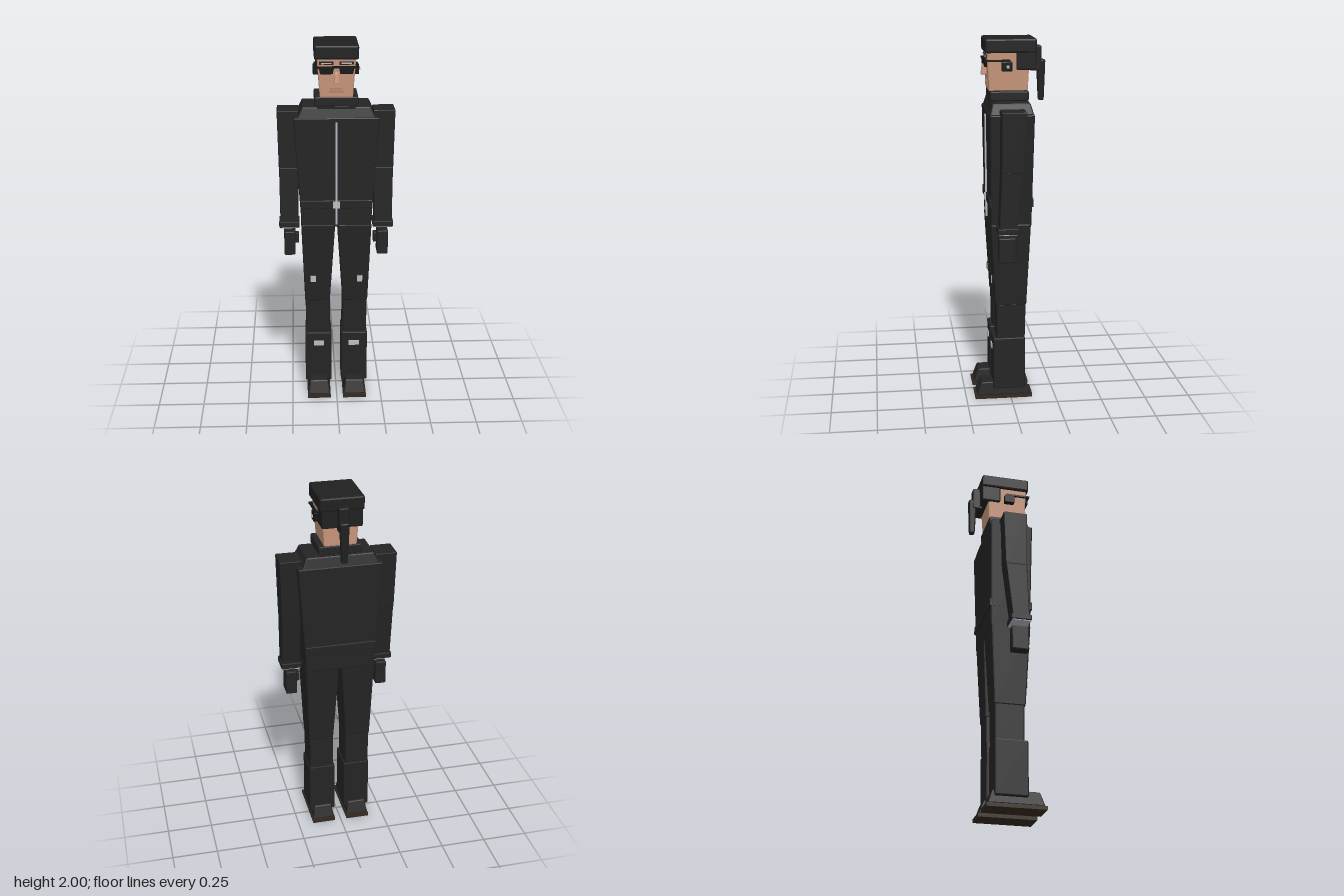
import * as THREE from 'three';
import { RoundedBoxGeometry } from 'three/addons/geometries/RoundedBoxGeometry.js';

const mat = (name, color) => {
  const m = new THREE.MeshStandardMaterial({ color });
  m.name = name;
  return m;
};

// Chamfered block between a bottom and a top rectangle, each [x0, x1, z0, z1].
function blockGeometry(y0, y1, bottom, top = bottom, bevel = 0.007) {
  const w = bottom[1] - bottom[0], h = y1 - y0, d = bottom[3] - bottom[2];
  const r = Math.min(bevel, w * 0.25, h * 0.25, d * 0.25);
  const g = bevel > 0 ? new RoundedBoxGeometry(w, h, d, 1, r) : new THREE.BoxGeometry(w, h, d).toNonIndexed();
  const p = g.attributes.position, lerp = THREE.MathUtils.lerp;
  for (let i = 0; i < p.count; i++) {
    const u = p.getX(i) / w + 0.5, t = p.getY(i) / h + 0.5, v = p.getZ(i) / d + 0.5;
    p.setXYZ(i,
      lerp(lerp(bottom[0], bottom[1], u), lerp(top[0], top[1], u), t),
      lerp(y0, y1, t),
      lerp(lerp(bottom[2], bottom[3], v), lerp(top[2], top[3], v), t));
  }
  g.computeVertexNormals();
  return g;
}

export function createModel() {
  const root = new THREE.Group();
  root.name = 'figure';

  const cloth = mat('black cloth', 0x242424);
  const hair = mat('black hair', 0x202021);
  const lens = mat('dark lens', 0x141415);
  const skin = mat('skin', 0xc8967c);
  const lip = mat('lips', 0xb48069);
  const metal = mat('light metal', 0xbcbcbc);
  const zip = mat('zip silver', 0xb4b4c4);
  const sole = mat('brown sole', 0x35291f);

  const part = (name, m, ...spec) => {
    const mesh = new THREE.Mesh(blockGeometry(...spec), m);
    mesh.name = name;
    root.add(mesh);
  };
  const flip = (r) => [-r[1], -r[0], r[2], r[3]];
  // The same block on the model's left (+x) and right (-x).
  const pair = (name, m, y0, y1, b, t = b, bevel) => {
    part('left ' + name, m, y0, y1, b, t, bevel);
    part('right ' + name, m, y0, y1, flip(b), flip(t), bevel);
  };

  // Head and hair
  part('head', skin, 1.72, 1.94, [-0.087, 0.087, -0.098, 0.11], [-0.103, 0.103, -0.108, 0.122]);
  part('hairCap', hair, 1.925, 2, [-0.117, 0.117, -0.143, 0.132], undefined, 0.01);
  part('backHair', hair, 1.835, 1.94, [-0.108, 0.108, -0.14, -0.035]);
  part('ponytailKnot', hair, 1.82, 1.955, [-0.027, 0.027, -0.18, -0.12]);
  part('ponytail', hair, 1.66, 1.88, [-0.017, 0.017, -0.195, -0.165], [-0.025, 0.025, -0.202, -0.155]);

  // Face
  part('nose', skin, 1.803, 1.86, [-0.014, 0.014, 0.11, 0.147], [-0.01, 0.01, 0.11, 0.138], 0.004);
  part('upperLip', lip, 1.768, 1.775, [-0.03, 0.03, 0.112, 0.12], undefined, 0);
  part('lowerLip', lip, 1.748, 1.761, [-0.04, 0.04, 0.11, 0.118], undefined, 0);
  pair('brow', hair, 1.898, 1.915, [0.015, 0.09, 0.118, 0.124], undefined, 0);
  pair('eye', metal, 1.902, 1.909, [0.026, 0.08, 0.12, 0.126], undefined, 0);

  // Glasses
  pair('lens', lens, 1.85, 1.888, [0.02, 0.085, 0.12, 0.132], [0.012, 0.094, 0.12, 0.132], 0.003);
  part('glassesBar', lens, 1.88, 1.89, [-0.118, 0.118, 0.12, 0.135], undefined, 0);
  pair('glassesTemple', lens, 1.88, 1.89, [0.104, 0.116, 0, 0.135], undefined, 0);

  // Ear pieces, with one stud on the left
  pair('earPiece', lens, 1.83, 1.88, [0.09, 0.122, -0.012, 0.045], undefined, 0.004);
  part('earStud', metal, 1.848, 1.862, [0.12, 0.13, 0.005, 0.02], undefined, 0);

  // Jacket
  part('collar', cloth, 1.672, 1.725, [-0.116, 0.116, -0.1, 0.106]);
  part('collarBase', cloth, 1.64, 1.68, [-0.105, 0.105, -0.098, 0.103]);
  part('shoulderYoke', cloth, 1.605, 1.67, [-0.21, 0.21, -0.118, 0.118], [-0.18, 0.18, -0.1, 0.1]);
  part('torso', cloth, 1, 1.615, [-0.188, 0.188, -0.107, 0.112], [-0.23, 0.23, -0.118, 0.12]);
  part('belt', cloth, 1.11, 1.157, [-0.196, 0.196, -0.117, 0.122], undefined, 0.004);
  part('zip', zip, 1.02, 1.59, [-0.005, 0.005, 0.105, 0.124], [-0.005, 0.005, 0.11, 0.127], 0);
  part('beltBuckle', metal, 1.115, 1.15, [-0.018, 0.018, 0.118, 0.13], undefined, 0);

  // Arms and hands
  pair('upperArm', cloth, 1.32, 1.642, [0.203, 0.309, -0.052, 0.066], [0.2, 0.316, -0.066, 0.066], 0.004);
  pair('forearm', cloth, 1.01, 1.325, [0.208, 0.305, -0.012, 0.078], [0.204, 0.308, -0.05, 0.066], 0.004);
  pair('cuff', cloth, 0.99, 1.022, [0.2, 0.312, -0.022, 0.088], undefined, 0.004);
  pair('cuffTrim', zip, 0.986, 0.992, [0.205, 0.307, -0.017, 0.083], undefined, 0);
  pair('hand', cloth, 0.826, 0.965, [0.225, 0.286, -0.013, 0.08]);
  pair('thumb', cloth, 0.89, 0.945, [0.205, 0.23, 0.015, 0.055], undefined, 0.004);

  // Legs and boots
  pair('thigh', cloth, 0.552, 1.015, [0.036, 0.174, -0.083, 0.087], [0.006, 0.192, -0.105, 0.114]);
  pair('shin', cloth, 0.35, 0.56, [0.034, 0.169, -0.076, 0.08], [0.036, 0.172, -0.08, 0.083]);
  pair('bootShaft', cloth, 0.06, 0.362, [0.027, 0.174, -0.078, 0.1]);
  pair('foot', cloth, 0.018, 0.095, [0.038, 0.162, -0.112, 0.192], [0.05, 0.15, -0.085, 0.165]);
  pair('sole', sole, 0, 0.02, [0.035, 0.165, -0.12, 0.2], undefined, 0);

  // Straps and buckles
  pair('thighTab', cloth, 0.672, 0.713, [0.108, 0.148, 0.085, 0.103], undefined, 0.003);
  pair('thighBuckle', metal, 0.675, 0.71, [0.114, 0.144, 0.1, 0.107], undefined, 0);
  pair('bootBuckle', metal, 0.284, 0.311, [0.069, 0.128, 0.098, 0.106], undefined, 0);

  return root;
}
